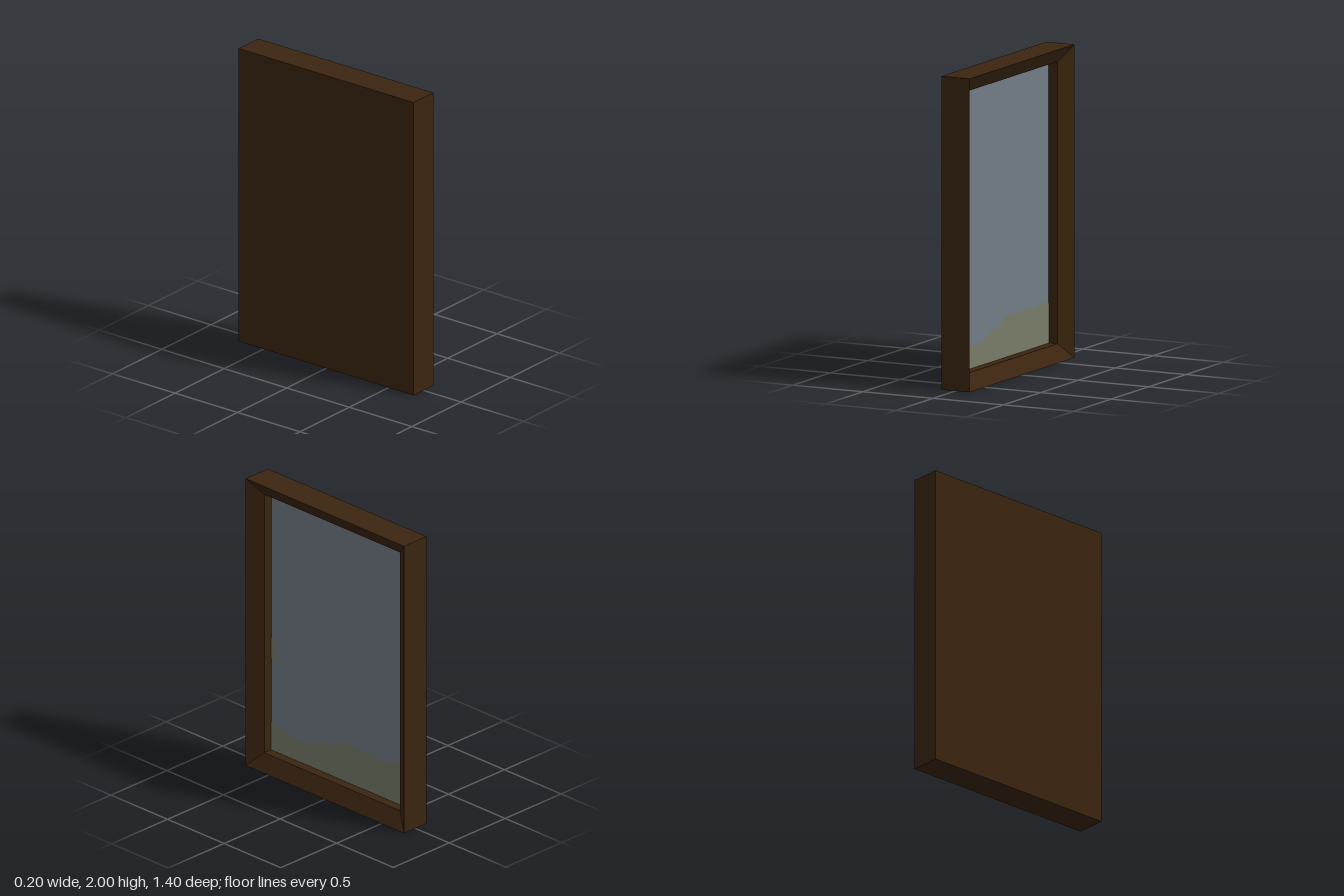
import * as THREE from 'three';

const wood = new THREE.MeshStandardMaterial({ name: 'darkWood', color: 0x3b2510 });
const glass = new THREE.MeshStandardMaterial({ name: 'greyGlass', color: 0x727d87 });
const grime = new THREE.MeshStandardMaterial({ name: 'mossyGrime', color: 0x787c68 });

const PANE_X = -0.03;

// Rectangular ring of corners at depth x, inset from the outer edge
function ring(x, inset) {
  const z = 0.7 - inset, lo = inset, hi = 2 - inset;
  return [[x, lo, z], [x, lo, -z], [x, hi, -z], [x, hi, z]];
}

// Mitred moulding: loft through successive rings
function frameGeometry(rings) {
  const pos = [];
  for (let r = 0; r < rings.length - 1; r++) {
    const a = rings[r], b = rings[r + 1];
    for (let i = 0; i < 4; i++) {
      const j = (i + 1) % 4;
      pos.push(...a[i], ...a[j], ...b[j], ...a[i], ...b[j], ...b[i]);
    }
  }
  const geo = new THREE.BufferGeometry();
  geo.setAttribute('position', new THREE.Float32BufferAttribute(pos, 3));
  geo.computeVertexNormals();
  return geo;
}

// Flat outline facing +x, drawn as [z, y] points in counter-clockwise order
function stain(points) {
  const shape = new THREE.Shape(points.map(([z, y]) => new THREE.Vector2(-z, y)));
  return new THREE.ShapeGeometry(shape).rotateY(Math.PI / 2);
}

export function createModel() {
  const group = new THREE.Group();
  group.name = 'framedMirror';
  const add = (name, geo, mat, x = 0, y = 0) => {
    const mesh = new THREE.Mesh(geo, mat);
    mesh.name = name;
    mesh.position.set(x, y, 0);
    group.add(mesh);
  };

  // Outer sides, sloping front, inner lip
  add('frame', frameGeometry([
    ring(-0.1, 0), ring(0.1, 0), ring(0.033, 0.1), ring(PANE_X, 0.1),
  ]), wood);
  add('backPanel', new THREE.PlaneGeometry(1.4, 2).rotateY(-Math.PI / 2), wood, -0.1, 1);
  add('mirrorPane', new THREE.PlaneGeometry(1.2, 1.8).rotateY(Math.PI / 2), glass, PANE_X, 1);

  // Grime creeping up from the bottom edge
  add('lowerStain', stain([
    [0.6, 0.1], [-0.6, 0.1], [-0.6, 0.35], [-0.53, 0.377], [-0.47, 0.365], [-0.39, 0.35],
    [-0.31, 0.355], [-0.28, 0.372], [-0.22, 0.36], [-0.08, 0.37], [0, 0.36], [0.06, 0.307],
    [0.165, 0.307], [0.22, 0.275], [0.29, 0.25], [0.38, 0.24], [0.457, 0.25], [0.55, 0.29], [0.6, 0.297],
  ]), grime, PANE_X + 0.003);
  add('sideStain', stain([
    [0.6, 0.735], [0.545, 0.745], [0.555, 0.78], [0.55, 0.8], [0.57, 0.84], [0.56, 0.88], [0.6, 0.88],
  ]), grime, PANE_X + 0.003);
  return group;
}
